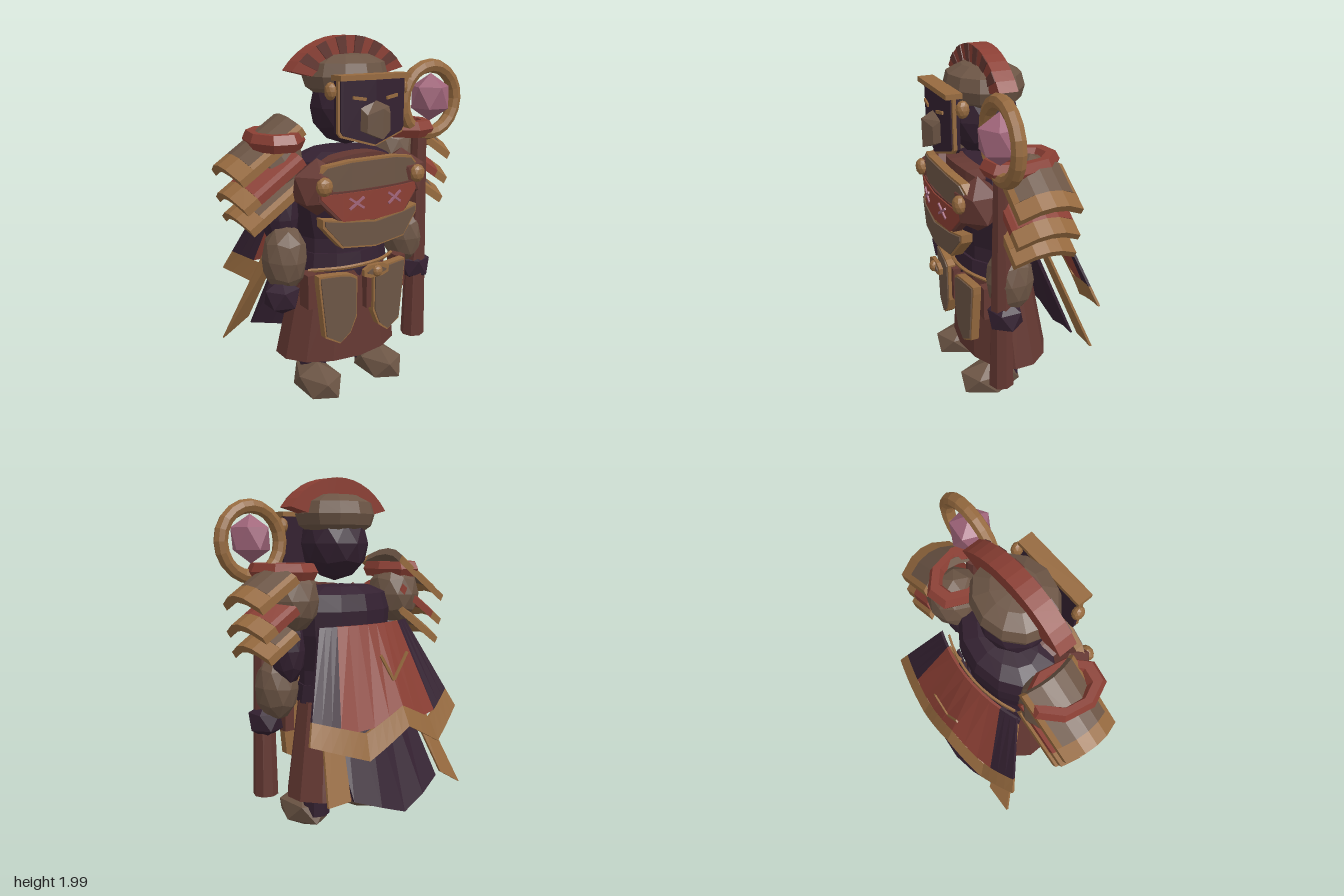
import * as THREE from 'three';

const mat = (name, color) => {
  const m = new THREE.MeshStandardMaterial({ color });
  m.name = name;
  return m;
};

export function createModel() {
  const root = new THREE.Group();
  root.name = 'armouredFigure';
  const leather = mat('leather', 0x6c5545), gold = mat('gold', 0x966a3f), red = mat('red', 0x8b3f34),
    maroon = mat('maroon', 0x643832), purple = mat('purple', 0x342131), pink = mat('pink', 0xa0657a);

  // Adds a faceted mesh
  const add = (name, geo, material, pos = [0, 0, 0], scale = [1, 1, 1], rot = [0, 0, 0]) => {
    const g = geo.index ? geo.toNonIndexed() : geo;
    g.computeVertexNormals();
    const m = new THREE.Mesh(g, material);
    m.name = name;
    m.position.set(...pos);
    m.scale.set(...scale);
    m.rotation.set(...rot);
    root.add(m);
    return m;
  };
  const ball = (name, material, pos, size, detail = 1, rot) => {
    const g = new THREE.IcosahedronGeometry(1, detail);
    g.rotateZ(0.5536); // one corner straight up
    return add(name, g, material, pos, size, rot);
  };
  const box = (name, material, pos, size, rot) =>
    add(name, new THREE.BoxGeometry(...size), material, pos, [1, 1, 1], rot);

  // Box bent by a rule: u in -1..1 across, v in 0..1 upward, w in 0..1 toward the front
  const slab = (name, material, nx, rule) => {
    const g = new THREE.BoxGeometry(2, 1, 1, nx, 1, 1), p = g.attributes.position;
    for (let i = 0; i < p.count; i++)
      p.setXYZ(i, ...rule(p.getX(i), p.getY(i) + 0.5, p.getZ(i) + 0.5));
    return add(name, g, material);
  };
  // Armour plate from columns [x, bottom, top], with an inset face inside its rim
  const plate = (name, cols, rim, face, z, depth, bend, inset) => {
    const n = cols.length - 1;
    const layer = (label, material, border, z0, d) => slab(label, material, n, (u, v, w) => {
      const [x, b, t] = cols[Math.round((u + 1) / 2 * n)];
      const mid = (cols[0][0] + cols[n][0]) / 2, half = (cols[n][0] - cols[0][0]) / 2;
      const px = mid + (x - mid) * (1 - border / half);
      const pad = Math.min(border, (t - b) * 0.4);
      return [px, b + pad + (t - b - 2 * pad) * v, z0 + d * w - bend * px * px];
    });
    layer(name + 'Rim', rim, 0, z, depth);
    layer(name + 'Face', face, inset, z + depth - 0.003, 0.01);
  };
  const flip = cols => cols.map(([x, b, t]) => [-x, b, t]).reverse();

  // Torso
  const torso = [[0, 0.7], [0.27, 0.7], [0.26, 0.95], [0.31, 1.15], [0.32, 1.28], [0.29, 1.37], [0.19, 1.41], [0, 1.42]];
  add('torso', new THREE.LatheGeometry(torso.map(p => new THREE.Vector2(...p)), 12), purple, [0, 0, 0.06], [1, 1, 0.7]);

  // Skirt, leaning outward at the back
  const skirt = new THREE.CylinderGeometry(0.28, 0.385, 0.53, 14, 1);
  const sp = skirt.attributes.position;
  for (let i = 0; i < sp.count; i++) {
    const top = sp.getY(i) > 0;
    sp.setZ(i, sp.getZ(i) * (top ? 0.68 : 0.65) + (top ? 0.055 : 0.02));
  }
  add('skirt', skirt, maroon, [0, 0.515, 0]);
  add('waistBand', new THREE.CylinderGeometry(0.27, 0.285, 0.1, 12), purple, [0, 0.82, 0.06], [1, 1, 0.74]);

  // Legs, arms and shoulders
  for (const s of [1, -1]) {
    add('leg', new THREE.CylinderGeometry(0.085, 0.08, 0.3, 8), purple, [s * 0.19, 0.26, 0.06]);
    ball('foot', leather, [s * 0.212 - 0.01, 0.117, 0.16], [0.128, 0.107, 0.2], 0);
    ball('upperArm', purple, [s * 0.38, 1.08, 0.06], [0.095, 0.2, 0.11]);
    ball('forearm', leather, [s * 0.4, 0.87, 0.13], [0.12, 0.19, 0.13], 1, [0, 0, s * 0.06]);
    ball('hand', purple, [s * 0.445, 0.68, 0.175], [0.105, 0.1, 0.105], 0);
    ball('shoulder', leather, [s * 0.38, 1.35, 0.015], [0.15, 0.18, 0.155]);
    const ring = new THREE.TorusGeometry(0.165, 0.052, 6, 8);
    ring.rotateZ(Math.PI / 8);
    ring.rotateX(Math.PI / 2);
    ring.scale(0.71, 0.97, 1);
    add('shoulderRing', ring, red, [s > 0 ? 0.393 : -0.418, 1.495, 0.075], [1, 1, 1], [0, s * 0.2, 0]);

    // Layered shoulder plates, arched front to back; the staff side starts further out
    [[1.615, 0.42, leather, gold], [1.46, 0.4, red, red], [1.33, 0.365, leather, gold]].forEach(([y, len, inner, side], i) => {
      const edge = a => -0.065 * (a / 0.165) ** 2;
      const part = (name, material, steps, from, to) => {
        const arch = new THREE.Shape();
        steps.forEach((a, k) => k ? arch.lineTo(a, edge(a)) : arch.moveTo(a, edge(a)));
        [...steps].reverse().forEach(a => arch.lineTo(a, edge(a) - 0.042));
        const g = new THREE.ExtrudeGeometry(arch, { depth: to - from, bevelEnabled: false });
        g.translate(0, 0, from);
        g.rotateY(s * Math.PI / 2);
        add(name + (i + 1), g, material, [s * 0.36, y, 0.04], [1, 1, 1], [0, 0, -s * 0.58]);
      };
      const start = s > 0 ? 0.15 : 0, tip = len - 0.09;
      part('shoulderPlate', inner, [-0.14, -0.07, 0, 0.07, 0.14], start, tip);
      part('shoulderPlateBackEdge', side, [-0.165, -0.14], start, tip);
      part('shoulderPlateFrontEdge', side, [0.14, 0.165], start, tip);
      part('shoulderPlateTip', gold, [-0.165, -0.07, 0, 0.07, 0.165], tip, len);
    });
  }

  // Chest plates
  for (const s of [1, -1]) {
    ball('chestPad', maroon, [s * 0.27, 1.26, 0.25], [0.145, 0.15, 0.13], 0);
    ball('chestBoss', gold, [s * 0.295, 1.285, 0.36], [0.046, 0.05, 0.035]);
    for (const t of [1, -1])
      box('chestMark', pink, [s * 0.12, 1.185, 0.391], [0.1, 0.012, 0.009], [0, s * 0.09, t * 0.6]);
  }
  slab('collarPlate', maroon, 6, (u, v, w) => [u * 0.22, 1.34 + v * (0.08 - 0.05 * u * u), 0.2 + 0.1 * w - 0.08 * u * u]);
  plate('upperChest', [[-0.335, 1.25, 1.32], [-0.27, 1.225, 1.38], [-0.14, 1.225, 1.4], [0.14, 1.225, 1.4], [0.27, 1.225, 1.38], [0.335, 1.25, 1.32]],
    gold, leather, 0.33, 0.045, 0.5, 0.01);
  plate('middleChest', [[-0.32, 1.21, 1.25], [-0.2, 1.085, 1.25], [0, 1.075, 1.25], [0.2, 1.085, 1.25], [0.32, 1.21, 1.25]],
    maroon, red, 0.34, 0.045, 0.4, 0.01);
  plate('lowerChest', [[-0.3, 1.07, 1.115], [-0.2, 0.955, 1.1], [0, 0.935, 1.08], [0.2, 0.955, 1.1], [0.3, 1.07, 1.115]],
    gold, leather, 0.33, 0.06, 0.4, 0.01);

  // Belt, hip plates and straps
  const hip = [[0.055, 0.52, 0.75], [0.095, 0.43, 0.77], [0.16, 0.38, 0.78], [0.25, 0.43, 0.785], [0.285, 0.74, 0.785]];
  plate('leftHipPlate', hip, gold, leather, 0.265, 0.045, 0.25, 0.01);
  plate('rightHipPlate', flip(hip), gold, leather, 0.265, 0.045, 0.25, 0.01);
  for (const s of [1, -1]) {
    box('strap', maroon, [s * 0.045, 0.64, 0.265], [0.045, 0.2, 0.05]);
    box('pouch', maroon, [s * 0.295, 0.69, 0.2], [0.06, 0.19, 0.09]);
  }
  const belt = new THREE.CatmullRomCurve3([[-0.28, 0.785, 0.17], [-0.13, 0.795, 0.255], [0, 0.8, 0.28], [0.13, 0.795, 0.255], [0.28, 0.785, 0.17]]
    .map(p => new THREE.Vector3(...p)));
  add('beltCord', new THREE.TubeGeometry(belt, 10, 0.011, 5), gold);
  plate('buckle', [[-0.08, 0.785, 0.82], [-0.04, 0.77, 0.84], [0.04, 0.77, 0.84], [0.08, 0.785, 0.82]], gold, leather, 0.385, 0.022, 0, 0.02);
  ball('buckleStud', gold, [0, 0.805, 0.412], [0.03, 0.033, 0.025]);

  // Head and helmet
  ball('head', purple, [0, 1.64, 0.11], [0.195, 0.205, 0.195]);
  const helm = [[0, 1.71], [0.17, 1.71], [0.215, 1.74], [0.235, 1.8], [0.215, 1.865], [0.13, 1.905], [0, 1.915]];
  add('helmet', new THREE.LatheGeometry(helm.map(p => new THREE.Vector2(...p)), 12), leather, [0, 0, 0.1], [1, 1, 0.88]);

  // Crest: a fan down to the helmet, with thin dark stripes on its front
  const fan = (name, material, n, a0, a1, z0, z1) => slab(name, material, n, (u, v, w) => {
    const a = (a0 + (a1 - a0) * (u + 1) / 2) * (0.84 + 0.16 * v), r = 0.33 + 0.105 * v;
    return [Math.sin(a) * r - 0.008, 1.565 + Math.cos(a) * r, z0 + (z1 - z0) * w];
  });
  fan('crest', red, 13, -0.915, 0.915, 0.06, 0.16);
  for (let i = 1; i < 13; i += 2) {
    const a = -0.915 + i * 1.83 / 13;
    fan('crestStripe', maroon, 1, a, a + 1.83 / 13, 0.16, 0.165);
  }

  // Face mask with a dark backing
  const mask = [[-0.205, 1.535, 1.8], [-0.19, 1.515, 1.8], [0, 1.46, 1.8], [0.19, 1.515, 1.8], [0.205, 1.535, 1.8]];
  plate('mask', mask, gold, purple, 0.352, 0.018, 0.6, 0.01);
  plate('maskBacking', mask, purple, purple, 0.335, 0.017, 0.6, 0.01);
  box('maskBrow', gold, [0, 1.805, 0.34], [0.43, 0.026, 0.085]);
  slab('beak', leather, 2, (u, v, w) => {
    const k = 1 - 0.2 * w, mid = 1 - Math.abs(u);
    return [u * 0.088 * k, 1.6 + (v - 0.5) * (0.11 + 0.08 * mid) * k - 0.02 * w, 0.37 + w * (0.035 + 0.035 * mid)];
  });
  for (const s of [1, -1]) {
    box('eye', gold, [s * 0.1, 1.705, 0.376], [0.075, 0.016, 0.009], [0, s * 0.1, s * 0.15]);
    ball('maskHinge', gold, [s * 0.22, 1.74, 0.3], [0.03, 0.045, 0.035]);
  }

  // Staff with ring and crystal
  add('staff', new THREE.CylinderGeometry(0.042, 0.07, 1.22, 8), maroon, [0.44, 0.86, 0.195]);
  add('staffRing', new THREE.TorusGeometry(0.185, 0.038, 8, 20), gold, [0.487, 1.65, 0.215]);
  ball('crystal', pink, [0.487, 1.665, 0.222], [0.115, 0.13, 0.12], 0, [0, 0.2, 0]);

  // Upper cape, with a slightly uneven zigzag hem
  const hem = u => {
    const d = Math.abs(u + 0.1);
    return d < 0.5 ? 0.68 - 0.28 * d : 0.54 + (u < 0 ? 0.4 : 0.2) * (d - 0.5);
  };
  const cape = (name, material, u0, u1, v0, v1, n) => slab(name, material, n, (u, v, w) => {
    const a = u0 + (u1 - u0) * (u + 1) / 2, t = v0 + (v1 - v0) * v;
    const y = hem(a) + (1.21 - hem(a)) * t, f = 1 - t;
    return [a * (0.32 + 0.225 * f), y, -0.205 - 0.235 * f + a * a * (0.06 + 0.035 * f) + 0.014 * w];
  });
  cape('capeCentre', red, -0.7, 0.7, 0.2, 1, 7);
  cape('capeLeftBand', purple, 0.7, 1, 0.2, 1, 3);
  cape('capeRightBand', purple, -1, -0.7, 0.2, 1, 3);
  cape('capeHem', gold, -1, 1, 0, 0.2, 20);
  slab('capeBand', gold, 8, (u, v, w) => [u * 0.28, 1.18 + 0.025 * v, -0.185 + 0.012 * w + 0.06 * u * u]);
  for (const s of [1, -1])
    box('capeChevron', gold, [s * 0.05, 1.0, -0.372], [0.016, 0.17, 0.009], [0, 0, -s * 0.6]);

  // Lower cape, swept to one side, and its two tails
  slab('lowerCape', purple, 4, (u, v, w) => {
    const f = 1 - v;
    return [u * (0.28 + 0.04 * f) - 0.06 * f, 0.92 - f * (0.73 - 0.12 * Math.abs(u)), -0.14 - 0.27 * f + 0.06 * u * u + 0.014 * w];
  });
  // Tail quad: top from t0 to t1 in x, lower corners at [x, y]
  const tail = (name, t0, t1, [x0, y0], [x1, y1], z) => slab(name, gold, 1, (u, v, w) => {
    const k = (u + 1) / 2, f = 1 - v;
    return [(t0 + (t1 - t0) * k) * v + (x0 + (x1 - x0) * k) * f,
      0.97 * v + (y0 + (y1 - y0) * k) * f, -0.12 + (z + 0.12) * f + 0.014 * w];
  });
  tail('rightTail', -0.31, -0.22, [-0.55, 0.24], [-0.38, 0.34], -0.385);
  tail('leftTail', 0.2, 0.31, [0.3, 0.33], [0.45, 0.33], -0.37);

  return root;
}
